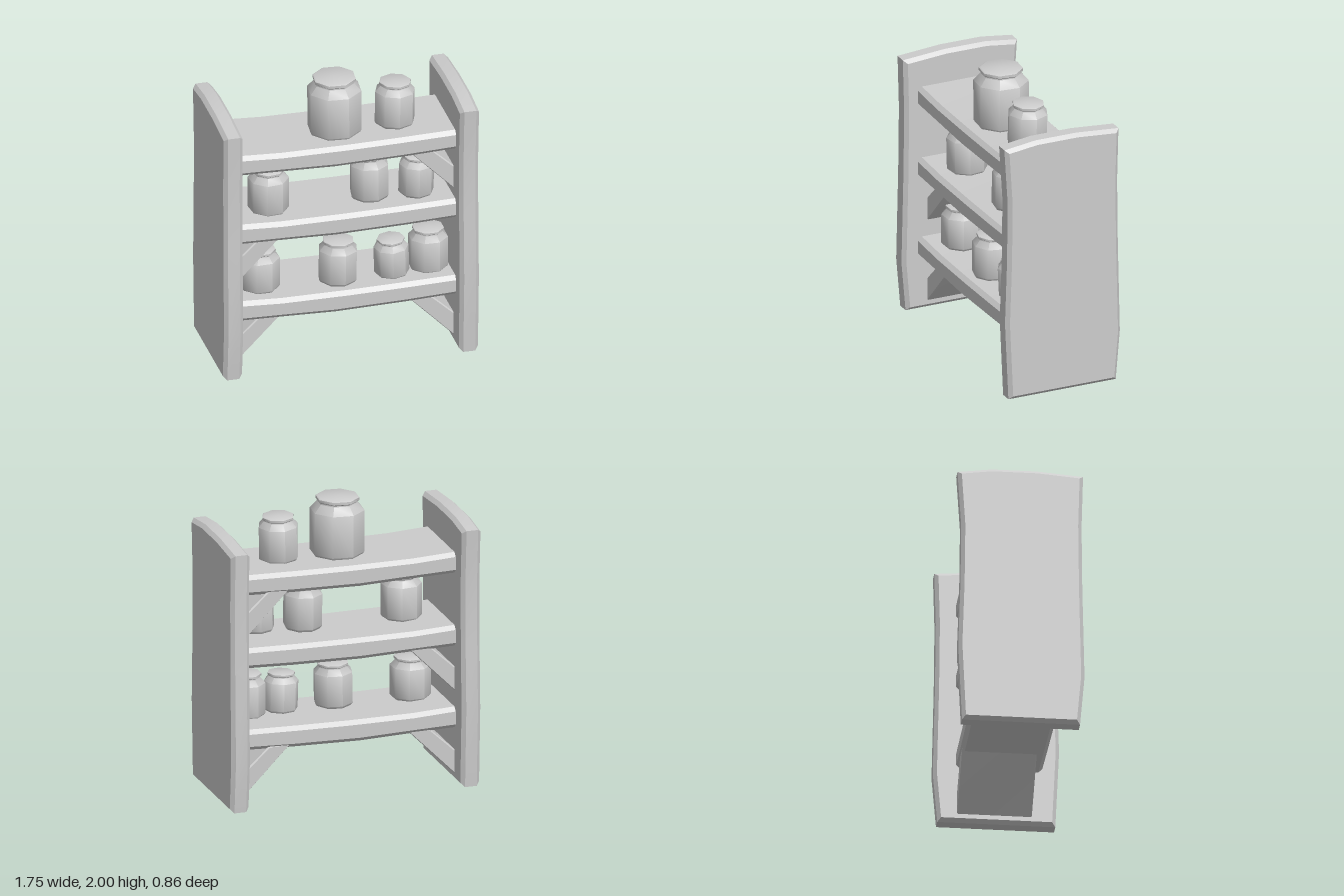
import * as THREE from 'three';
import { toCreasedNormals } from 'three/addons/utils/BufferGeometryUtils.js';

const material = new THREE.MeshStandardMaterial({ color: 0xcccccc });

function mesh(name, geometry, crease = 0.85) {
  const m = new THREE.Mesh(toCreasedNormals(geometry, crease), material);
  m.name = name;
  return m;
}

// Board cut from an outline, with softened edges; z0..z1 includes the bevels
function board(points, z0, z1, bevel) {
  const shape = new THREE.Shape(points.map(([x, y]) => new THREE.Vector2(x, y)));
  const geometry = new THREE.ExtrudeGeometry(shape, {
    depth: z1 - z0 - 2 * bevel, bevelEnabled: true, bevelSegments: 1,
    bevelSize: bevel, bevelThickness: bevel, bevelOffset: -bevel,
  });
  return geometry.translate(0, 0, z0 + bevel);
}

// Upright side panel: outline is (-z, y), slightly bowed and arched on top
function sidePanel(name) {
  const outline = [
    [-0.4, 0], [0.39, 0], [0.42, 0.35], [0.405, 1.0], [0.4, 1.45], [0.41, 1.82],
    [0.1, 1.845], [-0.2, 1.845], [-0.43, 1.815], [-0.405, 1.42], [-0.41, 1.0], [-0.425, 0.55],
  ];
  const geometry = board(outline, 0.745, 0.877, 0.025);
  geometry.rotateY(Math.PI / 2);
  return mesh(name, geometry, 0.6);
}

// Sagging shelf, top at height y
function shelf(name, y, sag) {
  const outline = [
    [-0.78, y - 0.135], [-0.4, y - 0.14 - sag * 0.5], [-0.08, y - 0.145 - sag],
    [0.4, y - 0.14 - sag * 0.5], [0.78, y - 0.13], [0.78, y + 0.01],
    [0.35, y], [0, y - sag * 0.5], [-0.45, y - sag * 0.4], [-0.78, y + 0.012],
  ];
  const geometry = board(outline, -0.275, 0.31, 0.028);
  // front and back edges wander a little
  const p = geometry.attributes.position;
  for (let i = 0; i < p.count; i++) {
    if (p.getZ(i) < 0) p.setZ(i, p.getZ(i) + 0.012 * p.getX(i));
  }
  return mesh(name, geometry, 0.7);
}

// Diagonal plank between panel and shelf underside; side is +1 or -1
function brace(name, side, shelfBottom) {
  const s = shelfBottom;
  let outline = [
    [0.76, s - 0.335], [0.76, s - 0.165], [0.56, s + 0.02], [0.41, s + 0.02],
  ].map(([x, y]) => [side * x, y]);
  if (side < 0) outline = outline.reverse();
  return mesh(name, board(outline, -0.26, 0.24, 0.008), 0.5);
}

// Eight-sided jar with shoulder, neck and flat lid
function jar(x, y, z, radius, height, tilt, turn) {
  const profile = [
    [0, 0], [0.9, 0], [1, 0.06], [1, 0.77], [0.74, 0.9],
    [0.74, 0.92], [0.8, 0.94], [0.8, 0.985], [0.74, 1], [0, 1],
  ].map(([r, h]) => new THREE.Vector2(r * radius, h * height));
  const m = mesh('jar', new THREE.LatheGeometry(profile, 8));
  m.position.set(x, y, z);
  m.rotation.set(0, turn, tilt);
  return m;
}

export function createModel() {
  const group = new THREE.Group();
  group.name = 'jarShelf';

  // Two panels, the second a half turn of the first
  const left = sidePanel('leftPanel');
  const right = sidePanel('rightPanel');
  right.rotation.y = Math.PI;
  group.add(left, right);

  group.add(
    shelf('bottomShelf', 0.515, 0.01),
    shelf('middleShelf', 1.09, 0.008),
    shelf('topShelf', 1.605, 0.01),
  );

  group.add(
    brace('bottomLeftBrace', 1, 0.375),
    brace('bottomRightBrace', -1, 0.375),
    brace('middleBrace', -1, 0.96),
    brace('topBrace', 1, 1.475),
  );

  // x, base y, z, radius, height, tilt
  const jars = [
    [-0.02, 1.59, 0.04, 0.185, 0.41, 0.01],
    [0.39, 1.6, 0.045, 0.137, 0.31, -0.03],
    [-0.485, 1.08, 0.07, 0.138, 0.31, 0.02],
    [0.21, 1.09, 0.075, 0.133, 0.315, -0.02],
    [0.52, 1.095, 0.11, 0.12, 0.285, 0.03],
    [-0.55, 0.51, 0.08, 0.138, 0.29, 0],
    [-0.02, 0.51, 0.11, 0.135, 0.3, 0.02],
    [0.355, 0.51, 0.11, 0.118, 0.265, -0.05],
    [0.61, 0.51, 0.085, 0.135, 0.3, 0],
  ];
  jars.forEach((j, i) => group.add(jar(...j, 0.3 + i * 0.5)));

  return group;
}
